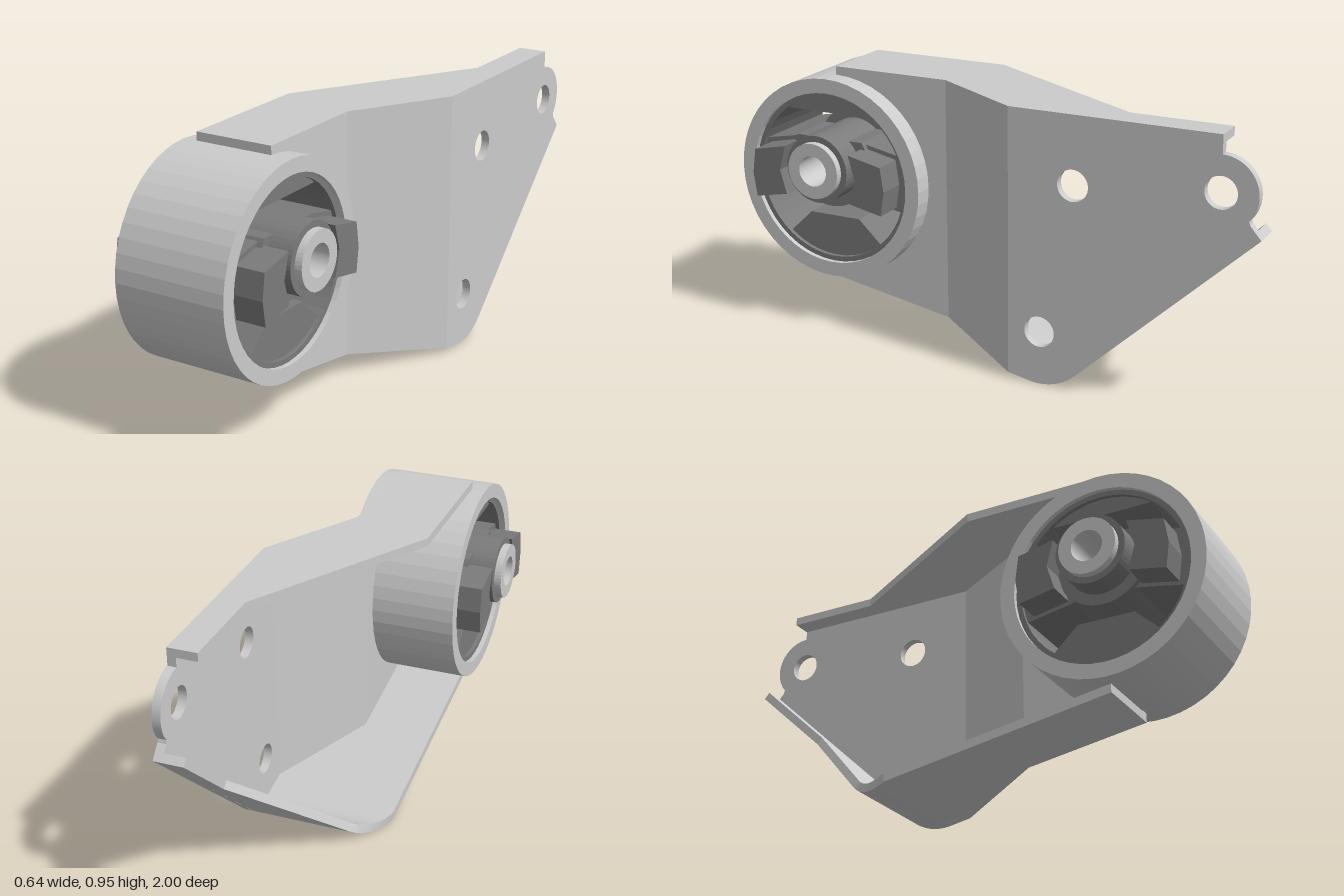
import * as THREE from 'three';

// Side profiles use u = -z and y; CX, CU, CY is the centre of the bushing
const T = 0.03, CX = -0.017, CU = -0.637, CY = 0.555, HUB_Y = 0.612;
const steel = new THREE.MeshStandardMaterial({ color: 0xcccccc });
const rubber = new THREE.MeshStandardMaterial({ color: 0x7b7b7b });

function add(parent, name, geometry, material) {
  const mesh = new THREE.Mesh(geometry, material);
  mesh.name = name;
  parent.add(mesh);
  return mesh;
}

// Linear interpolation through [u, x] pairs
function lerpTable(table, u) {
  for (let i = 1; i < table.length; i++) {
    const [a, xa] = table[i - 1], [b, xb] = table[i];
    if (u <= b) return xa + (xb - xa) * Math.max(0, (u - a) / (b - a));
  }
  return table[table.length - 1][1];
}
const outerX = u => lerpTable([[-0.637, 0.113], [-0.2, 0.113], [0.14, 0.318], [1, 0.318]], u);
const lowerEdgeX = u => lerpTable([[-0.637, -0.17], [0.2, -0.17], [0.25, -0.15], [0.36, -0.09], [0.74, 0.215], [1, 0.215]], u);

const polygon = pts => new THREE.Shape(pts.map(p => new THREE.Vector2(p[0], p[1])));
const circle = (u, y, r) => new THREE.Shape().absarc(u, y, r, 0, Math.PI * 2, false);
function ringShape(u, y, outer, inner) {
  const s = circle(u, y, outer);
  s.holes.push(circle(u, y, inner));
  return s;
}

// Side profile extruded along x
function slab(shape, x0, x1) {
  return new THREE.ExtrudeGeometry(shape, { depth: x1 - x0, bevelEnabled: false, curveSegments: 24 })
    .rotateY(Math.PI / 2).translate(x0, 0, 0);
}
const centred = (shape, half) => slab(shape, CX - half, CX + half);

// Side panel whose x follows the bent sheet
function bentPanel(shape) {
  const g = slab(shape, -T, 0), p = g.attributes.position;
  for (let i = 0; i < p.count; i++) p.setX(i, p.getX(i) + outerX(-p.getZ(i)));
  g.computeVertexNormals();
  return g;
}

// Lower flange: four-cornered cross-sections along the lower edge
function lowerFlange() {
  const hu = 0.255, hy = 0.19, r = 0.187;
  const stations = [[-0.637, 0.157, 0, -1], [-0.2, 0.081, -0.172, -0.985], [0.14, 0.0216, -0.172, -0.985], [0.2, 0.011, -0.172, -0.985]];
  for (let i = 0; i <= 10; i++) {
    const a = THREE.MathUtils.lerp(-1.744, -0.818, i / 10);
    const c = Math.cos(a), s = Math.sin(a);
    stations.push([hu + r * c, hy + r * s, c, s]);
  }
  for (const k of [0.58, 1]) stations.push([0.383 + 0.617 * k, 0.053 + 0.577 * k, 0.683, -0.73]);
  const sections = stations.map(([u, y, nu, ny]) => {
    const xi = lowerEdgeX(u), xo = outerX(u) - 0.002;
    const iu = u - nu * T, iy = y - ny * T;
    return [[xi, y, -u], [xo, y, -u], [xo, iy, -iu], [xi, iy, -iu]];
  });
  const v = [];
  const quad = (a, b, c, d) => v.push(...a, ...b, ...c, ...a, ...c, ...d);
  for (let i = 1; i < sections.length; i++) {
    const A = sections[i - 1], B = sections[i];
    for (let j = 0; j < 4; j++) quad(A[j], B[j], B[(j + 1) % 4], A[(j + 1) % 4]);
  }
  quad(...sections[0]);
  quad(...sections[sections.length - 1].slice().reverse());
  const g = new THREE.BufferGeometry();
  g.setAttribute('position', new THREE.Float32BufferAttribute(v, 3));
  g.computeVertexNormals();
  return g;
}

export function createModel() {
  const model = new THREE.Group();
  model.name = 'engineMount';
  const bracket = new THREE.Group();
  bracket.name = 'bracket';
  const bushing = new THREE.Group();
  bushing.name = 'bushing';
  model.add(bracket, bushing);

  // Web of the bracket: panel cut round the ring, sloped panel, drilled panel
  const front = polygon([[CU, 0.95], [-0.2, 0.95], [-0.2, 0.081], [CU, 0.157]]);
  front.absarc(CU, CY, 0.355, -Math.PI / 2, Math.PI / 2, false);
  add(bracket, 'frontPanel', bentPanel(front), steel);
  add(bracket, 'slopedPanel', bentPanel(polygon([[-0.2, 0.95], [0.14, 0.95], [0.14, 0.0216], [-0.2, 0.081]])), steel);
  const rear = polygon([[0.14, 0.0216], [0.14, 0.95], [0.865, 0.95], [0.865, 0.885]]);
  rear.absarc(0.865, 0.765, 0.122, Math.PI / 2, -0.7, true);
  rear.lineTo(0.962, 0.674);
  rear.lineTo(1, 0.63);
  rear.lineTo(0.383, 0.053);
  rear.absarc(0.255, 0.19, 0.187, -0.818, -1.744, true);
  for (const [u, y] of [[0.865, 0.765], [0.37, 0.715], [0.255, 0.19]]) rear.holes.push(circle(u, y, 0.054));
  add(bracket, 'rearPanel', bentPanel(rear), steel);

  // Flanges
  const top = polygon([[-0.17, CU], [0.113, CU], [0.113, -0.2], [0.318, 0.14], [0.318, 0.865], [0.215, 0.865], [0.215, 0.52], [-0.17, -0.12]]);
  const topGeometry = new THREE.ExtrudeGeometry(top, { depth: T, bevelEnabled: false })
    .rotateX(-Math.PI / 2).translate(0, 0.95 - T, 0);
  add(bracket, 'topFlange', topGeometry, steel);
  add(bracket, 'lowerFlange', lowerFlange(), steel);

  // Steel ring and rubber lining
  add(bushing, 'outerRing', centred(ringShape(CU, CY, 0.365, 0.313), 0.203), steel);
  add(bushing, 'lining', centred(ringShape(CU, CY, 0.314, 0.295), 0.185), rubber);

  // Rubber stops above and below the hub
  const chord = Math.asin(0.235 / 0.3);
  const upper = new THREE.Shape().absarc(CU, CY, 0.3, chord, Math.PI - chord, false);
  add(bushing, 'upperStop', centred(upper, 0.17), rubber);
  const lower = polygon([[CU + 0.19, 0.325], [CU + 0.1, 0.41], [CU - 0.1, 0.41], [CU - 0.19, 0.325]]);
  lower.absarc(CU, CY, 0.3, Math.PI + 0.88, Math.PI * 2 - 0.88, false);
  add(bushing, 'lowerStop', centred(lower, 0.17), rubber);

  // Hub and inner sleeve
  add(bushing, 'hubBase', centred(ringShape(CU, HUB_Y, 0.16, 0.09).clone(), 0.01), rubber).visible = true;
  const cradle = new THREE.Shape().absarc(CU, HUB_Y, 0.16, Math.PI - 0.6, Math.PI * 2 + 0.6, false);
  cradle.holes.push(circle(CU, HUB_Y, 0.09));
  add(bushing, 'hubCradle', centred(cradle, 0.19), rubber);
  add(bushing, 'hub', centred(ringShape(CU, HUB_Y, 0.122, 0.09), 0.277), rubber);
  add(bushing, 'innerSleeve', centred(ringShape(CU, HUB_Y, 0.1, 0.055), 0.303), steel);

  // Spokes and their raised blocks, one each side of the hub
  for (const s of [-1, 1]) {
    const side = pts => polygon(pts.map(([d, y]) => [CU + s * d, y]));
    add(bushing, 'spoke', centred(side([[0.1, 0.7], [0.285, 0.664], [0.3, 0.56], [0.285, 0.46], [0.1, 0.495]]), 0.17), rubber);
    add(bushing, 'spokeBlock', centred(side([[0.13, 0.68], [0.257, 0.653], [0.27, 0.565], [0.257, 0.478], [0.13, 0.503], [0.155, 0.59]]), 0.277), rubber);
  }
  return model;
}
